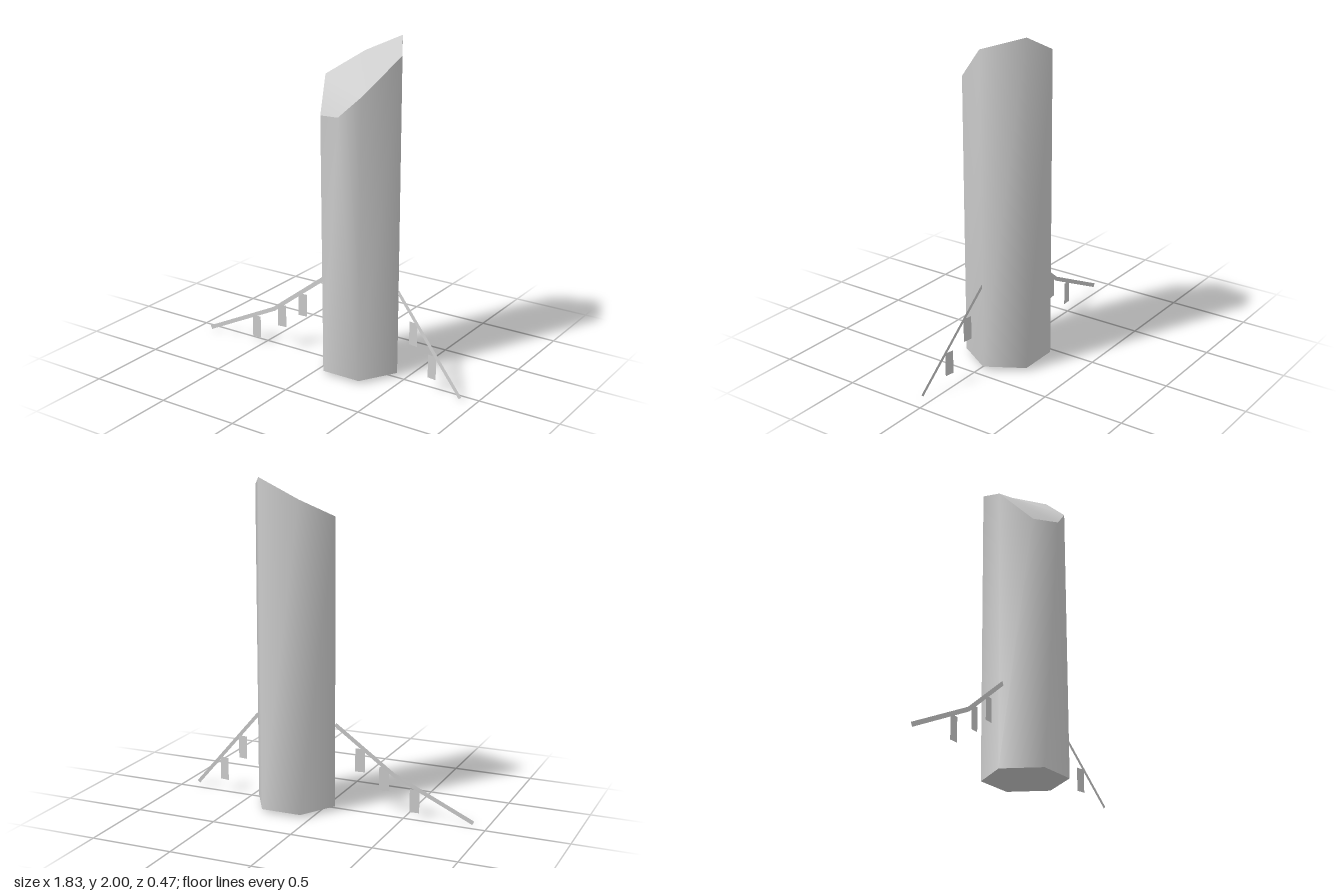
import * as THREE from 'three';

const V = (x, y, z) => new THREE.Vector3(x, y, z);

// indexed surface with smooth normals
function surface(points, faces) {
  const g = new THREE.BufferGeometry().setFromPoints(points);
  g.setIndex(faces.flat());
  g.computeVertexNormals();
  return g;
}

// flat ribbon following a polyline, widened in the xy plane
function ribbon(path, width) {
  const points = [], faces = [];
  path.forEach((p, i) => {
    const a = path[Math.max(i - 1, 0)], b = path[Math.min(i + 1, path.length - 1)];
    const n = V(a.y - b.y, b.x - a.x, 0).setLength(width / 2);
    points.push(p.clone().sub(n), p.clone().add(n));
    const k = i * 2;
    if (i) faces.push([k - 2, k, k + 1], [k - 2, k + 1, k - 1]);
  });
  return surface(points, faces);
}

export function createModel() {
  const model = new THREE.Group();
  const grey = new THREE.MeshStandardMaterial({ color: 0xcccccc });
  grey.name = 'pale grey';
  const cloth = grey.clone();
  cloth.name = 'pale grey cloth';
  cloth.side = THREE.DoubleSide;
  const add = (name, geometry, material) => {
    const mesh = new THREE.Mesh(geometry, material);
    mesh.name = name;
    model.add(mesh);
    return mesh;
  };

  // six-sided foot, counter-clockwise from above, starting front left
  const foot = [[0.06, 0.2], [0.31, 0.2], [0.44, -0.02], [0.31, -0.24], [0.06, -0.24], [-0.07, -0.02]]
    .map(([x, z]) => V(x, 0.02, z));
  // slanted rim; the last point is the extra one bulging at the front
  const rim = [V(0.02, 1.575, 0.165), V(0.31, 1.72, 0.2), V(0.44, 1.93, -0.02), V(0.31, 2, -0.24),
    V(0.06, 1.885, -0.24), V(-0.07, 1.77, -0.02), V(0.185, 1.6, 0.235)];

  // post walls: one quad a side, with the front side split at the extra point
  const walls = [[0, 12, 6], [0, 1, 12], [1, 7, 12]];
  for (let i = 1; i < 6; i++) {
    const j = (i + 1) % 6;
    walls.push([i, j, j + 6], [i, j + 6, i + 6]);
  }
  add('postWalls', surface([...foot, ...rim], walls), grey);
  add('postTop', surface(rim, [[0, 6, 5], [6, 1, 5], [1, 4, 5], [1, 2, 4], [2, 3, 4]]), grey);
  add('postBase', surface(foot, [1, 2, 3, 4].map(i => [0, i + 1, i])), grey);

  // ropes running from the post down to the ground
  const rightPath = [V(-0.06, 0.525, 0.003), V(-0.42, 0.25, 0.037), V(-0.912, 0.014, 0.057)];
  const leftPath = [V(0.437, 0.54, -0.02), V(0.907, 0.016, 0.058)];
  add('rightRope', ribbon(rightPath, 0.026), cloth);
  add('leftRope', ribbon(leftPath, 0.022), cloth);

  // hanging cloths: x, bottom y, z, turned to line up with their rope
  const cloths = [
    [-0.553, 0.03, 0.043, 0.04], [-0.363, 0.145, 0.033, 0.09], [-0.215, 0.245, 0.018, 0.09],
    [0.557, 0.235, 0, -0.165], [0.7, 0.07, 0.024, -0.165],
  ];
  cloths.forEach(([x, y, z, turn], i) => {
    const mesh = add('hangingCloth' + (i + 1), new THREE.PlaneGeometry(0.06, 0.144), cloth);
    mesh.position.set(x, y + 0.072, z);
    mesh.rotation.y = turn;
  });
  return model;
}
